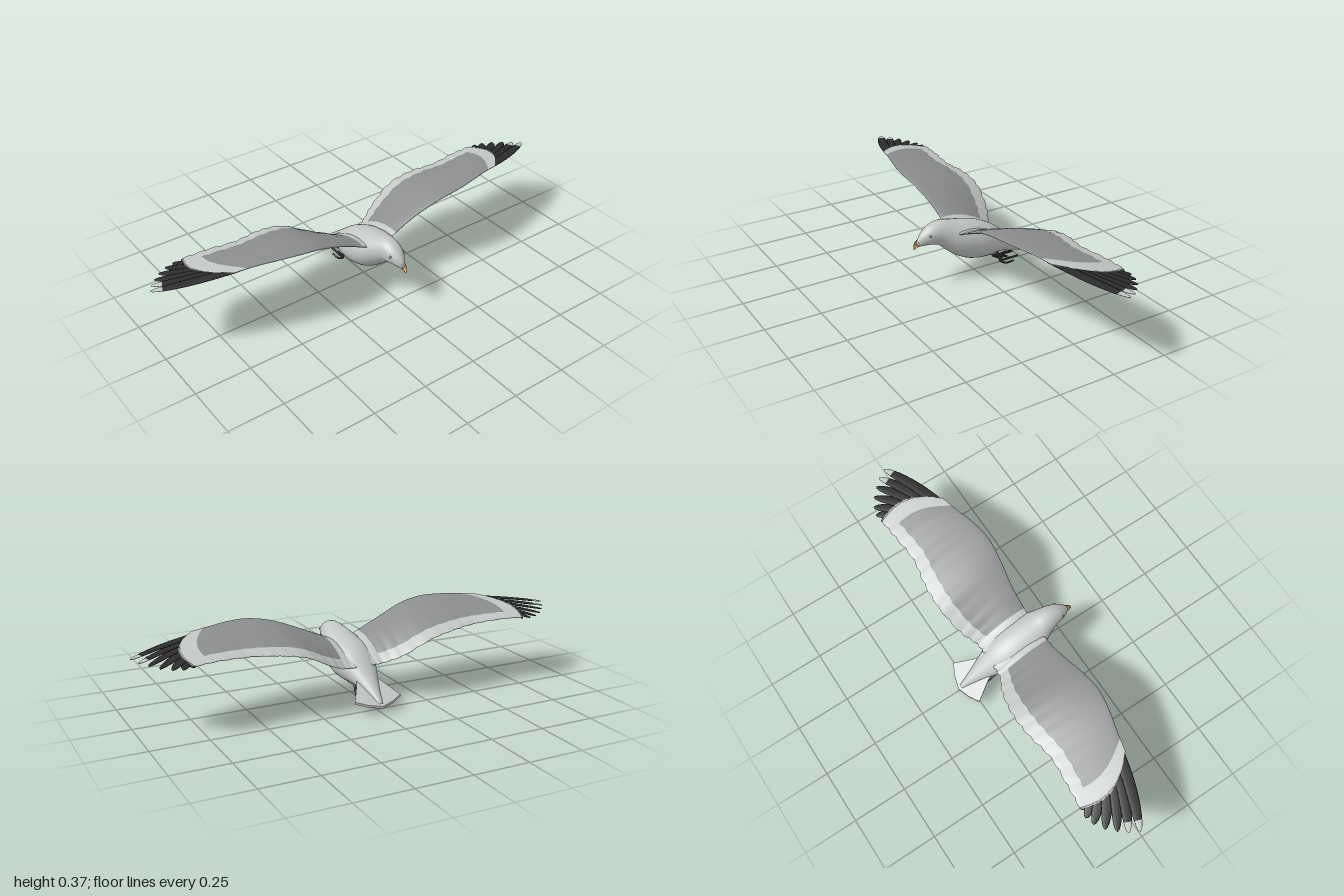
import * as THREE from 'three';

const mat = (name, color, side = THREE.FrontSide) => {
  const m = new THREE.MeshStandardMaterial({ color, side });
  m.name = name;
  return m;
};
const V = (x, y, z) => new THREE.Vector3(x, y, z);
const lerp = THREE.MathUtils.lerp;

// Skin a list of closed rings; pick(i, j) gives the material index of each cell
function loft(rings, pick = () => 0, colours = 1) {
  const n = rings[0].length, lists = Array.from({ length: colours }, () => []);
  const last = rings.length - 1;
  for (let i = 0; i < last; i++) {
    for (let j = 0; j < n; j++) {
      const k = (j + 1) % n;
      const a = i * n + j, b = i * n + k, d = a + n, c = b + n;
      lists[pick(i, j)].push(a, d, b, b, d, c);
    }
  }
  for (let j = 1; j < n - 1; j++) {
    lists[pick(0, j)].push(0, j, j + 1);
    lists[pick(last - 1, j)].push(last * n, last * n + j + 1, last * n + j);
  }
  const g = new THREE.BufferGeometry().setFromPoints(rings.flat());
  g.setIndex(lists.flat());
  let start = 0;
  lists.forEach((l, m) => { g.addGroup(start, l.length, m); start += l.length; });
  g.computeVertexNormals();
  return g;
}

// Reflected copy across x = 0 with corrected winding
function mirror(geo) {
  const g = geo.clone().scale(-1, 1, 1), ix = g.index;
  for (let i = 0; i < ix.count; i += 3) {
    const t = ix.getX(i);
    ix.setX(i, ix.getX(i + 1));
    ix.setX(i + 1, t);
  }
  return g;
}

// Elliptic rings along z from rows of [z, top, bottom, halfWidth]
function bodyRings(rows, steps, sides) {
  const outline = new THREE.CatmullRomCurve3(rows.map(r => V(r[0], r[1], r[2])));
  const widths = new THREE.CatmullRomCurve3(rows.map(r => V(r[3], 0, 0)));
  return Array.from({ length: steps + 1 }, (_, i) => {
    const p = outline.getPoint(i / steps), w = widths.getPoint(i / steps).x;
    return Array.from({ length: sides }, (_, j) => {
      const a = j / sides * Math.PI * 2;
      return V(Math.cos(a) * w, (p.y + p.z) / 2 + Math.sin(a) * (p.y - p.z) / 2, p.x);
    });
  });
}

// Wing panel: leading and trailing edge curves joined by thin aerofoil rings
function wingGeometry() {
  const lead = new THREE.CatmullRomCurve3([
    V(.03, .215, .12), V(.09, .242, .115), V(.2, .292, .118), V(.32, .338, .135),
    V(.43, .36, .142), V(.53, .364, .125), V(.62, .36, .1), V(.70, .354, .083)]);
  const trail = new THREE.CatmullRomCurve3([
    V(.03, .16, -.13), V(.09, .163, -.135), V(.17, .195, -.172), V(.3, .262, -.2),
    V(.42, .287, -.196), V(.54, .295, -.176), V(.68, .301, -.186), V(.79, .297, -.196)]);
  const vs = [0, .015, .05, .12, .25, .4, .55, .7, .82, .92, 1];
  const m = vs.length, N = 70;
  const rings = [];
  for (let i = 0; i <= N; i++) {
    const s = i / N, L = lead.getPoint(s), T = trail.getPoint(s);
    T.z -= .007 * Math.abs(Math.sin(s * Math.PI * 14));
    const point = (v, up) => {
      const p = L.clone().lerp(T, v), bump = Math.sin(Math.PI * v);
      const thick = lerp(.022, .006, s) * Math.sqrt(v) * (1 - v) * 1.6 + .002;
      p.x += .06 * s ** 3 * bump;
      p.y += .02 * (1 - s) * bump + (up ? thick : -.6 * thick);
      return p;
    };
    rings.push([...vs.map(v => point(v, true)), ...vs.slice().reverse().map(v => point(v, false))]);
  }
  // 0 white, 1 mantle, 2 underwing
  const pick = (i, j) => {
    if (i < 10) return 0;
    if (j < m - 1) return i >= 63 || j >= 8 ? 0 : 1;
    return j >= 2 * m - 4 || j === m - 1 ? 0 : 2;
  };
  return loft(rings, pick, 3);
}

// Flight feather: flat tapered blade with a rounded end
const handHeight = (x, z) => .364 - .035 * (x - .6) - .2 * (.12 - z);
function featherGeometry(base, tip, paleTip) {
  const d = V(tip[0] - base[0], 0, tip[1] - base[1]).normalize();
  const s = V(0, 1, 0).cross(d), rings = [];
  for (let i = 0; i <= 12; i++) {
    const t = 1 - (1 - i / 12) ** 1.5;
    const x = lerp(base[0], tip[0], t), z = lerp(base[1], tip[1], t) + .012 * Math.sin(Math.PI * t);
    const w = .024 * Math.sqrt(1 - t ** 5) + .0005;
    rings.push(Array.from({ length: 10 }, (_, j) => {
      const a = j / 10 * Math.PI * 2;
      return V(x, handHeight(x, z) + Math.sin(a) * .0025, z).addScaledVector(s, -Math.cos(a) * w);
    }));
  }
  return loft(rings, i => (paleTip && i >= 9 ? 1 : 0), 2);
}

export function createModel() {
  const white = mat('whitePlumage', 0xc3c7c6);
  const mantle = mat('greyMantle', 0x8c8e90);
  const under = mat('underwingGrey', 0x7c7f81);
  const black = mat('blackFeather', 0x2c2c2d);
  const horn = mat('ochreBeak', 0xb8883f);
  const legDark = mat('darkLeg', 0x363332);
  const model = new THREE.Group();
  const add = (name, geo, m, parent = model) => {
    const mesh = new THREE.Mesh(geo, m);
    mesh.name = name;
    parent.add(mesh);
    return mesh;
  };

  // Head and body in one smooth skin
  add('body', loft(bodyRings([
    [.284, .219, .188, .010], [.265, .245, .187, .024], [.23, .272, .186, .040],
    [.19, .285, .176, .050], [.15, .283, .142, .064], [.11, .272, .110, .082],
    [.06, .262, .083, .095], [0, .247, .068, .098], [-.05, .228, .066, .092],
    [-.1, .2, .069, .078], [-.14, .168, .064, .062], [-.18, .135, .054, .046],
    [-.23, .095, .04, .028], [-.29, .045, .022, .010]], 60, 32)), white);

  // Hooked beak
  add('beak', loft(bodyRings([
    [.276, .228, .187, .015], [.287, .219, .185, .012], [.297, .213, .18, .009],
    [.303, .205, .175, .006], [.305, .196, .178, .001]], 14, 16)), horn);

  // Tail fan, a thin plate sloping down to the back
  const fan = [[.035, .12], [.06, .18], [.11, .262], [.06, .287], [0, .305]];
  const shape = new THREE.Shape([...fan, ...fan.slice(0, 4).reverse().map(([x, y]) => [-x, y])]
    .map(([x, y]) => new THREE.Vector2(x, y)));
  const tail = new THREE.ExtrudeGeometry(shape, { depth: .01, bevelEnabled: false }).rotateX(-Math.PI / 2);
  const tp = tail.attributes.position;
  for (let i = 0; i < tp.count; i++) tp.setY(i, tp.getY(i) + .118 + (tp.getZ(i) + .13) * .56);
  tail.computeVertexNormals();
  add('tail', tail, white);

  // Right-hand and left-hand parts
  const wing = wingGeometry();
  const tips = [[1, -.055], [.978, -.095], [.948, -.13], [.912, -.165], [.87, -.192], [.83, -.203], [.79, -.2]];
  const feathers = tips.map((tip, i) =>
    featherGeometry([lerp(.66, .735, i / 6), lerp(.062, -.1, i / 6)], tip, i < 2));
  const toes = [
    [[.03, .02, -.125], [.034, .005, -.15], [.036, .006, -.19]],
    [[.03, .022, -.125], [.026, .02, -.17], [.024, .02, -.222]],
    [[.03, .03, -.12], [.016, .014, -.15], [.01, .012, -.185]],
    [[.03, .05, -.11], [.03, .06, -.14], [.03, .057, -.175]]];
  const tube = (pts, r) => new THREE.TubeGeometry(
    new THREE.CatmullRomCurve3(pts.map(p => V(...p))), 12, r, 8);
  const ball = (r, x, y, z) => new THREE.SphereGeometry(r, 12, 8).translate(x, y, z);

  for (const side of ['left', 'right']) {
    const flip = g => (side === 'left' ? g : mirror(g));
    const wings = new THREE.Group();
    wings.name = side + 'Wing';
    model.add(wings);
    add('wingPanel', flip(wing), [white, mantle, under], wings);
    feathers.forEach(f => add('primaryFeather', flip(f), [black, white], wings));

    // Thigh, shank and trailing toes
    const leg = new THREE.Group();
    leg.name = side + 'Leg';
    model.add(leg);
    add('thigh', flip(ball(.02, 0, 0, 0).scale(.9, .9, 1.6).translate(.032, .085, -.075)), white, leg);
    add('shank', flip(tube([[.03, .1, -.085], [.03, .07, -.105], [.03, .02, -.127]], .008)), legDark, leg);
    for (const t of toes) {
      add('toe', flip(tube(t, .0045)), legDark, leg);
      add('claw', flip(ball(.0048, ...t[2])), legDark, leg);
    }
    add(side + 'Eye', flip(ball(.006, .034, .237, .238)), mantle);
  }
  return model;
}
